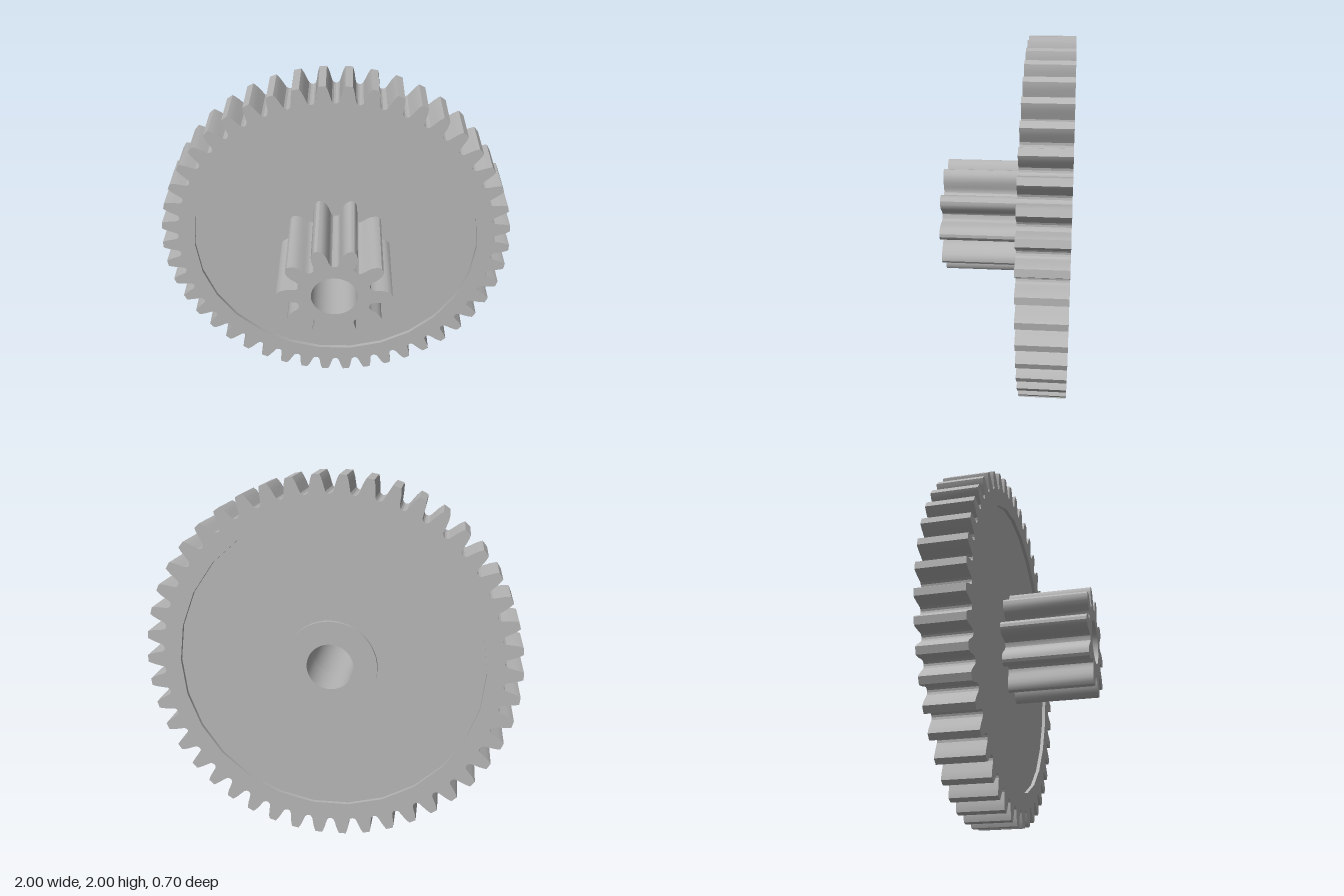
import * as THREE from 'three';
import { toCreasedNormals } from 'three/addons/utils/BufferGeometryUtils.js';

const BORE = 0.125;

// Flank of one tooth from root to tip: [radius, half angle from tooth centre]
const WHEEL_FLANK = [[0.904, 0.0683], [0.907, 0.057], [0.916, 0.047], [0.935, 0.041],
  [0.965, 0.033], [0.985, 0.026], [1.0, 0.019]];
const PINION_FLANK = [[0.2, 0.314], [0.202, 0.25], [0.211, 0.21], [0.23, 0.185],
  [0.26, 0.16], [0.285, 0.125], [0.302, 0.08], [0.312, 0.028]];

function polar(r, a) {
  return new THREE.Vector2(r * Math.cos(a), r * Math.sin(a));
}

function ring(radius, sides) {
  return Array.from({ length: sides }, (_, i) => polar(radius, (i / sides) * Math.PI * 2));
}

// Repeats the mirrored flank around the circle
function gearOutline(teeth, flank) {
  const points = [];
  for (let i = 0; i < teeth; i++) {
    const centre = (i / teeth) * Math.PI * 2;
    for (const [r, a] of flank) points.push(polar(r, centre - a));
    // the last root point is shared with the next tooth
    for (const [r, a] of flank.slice(1).reverse()) points.push(polar(r, centre + a));
  }
  return points;
}

// Flat outline with one hole, extruded from z0 to z1
function plate(name, outline, hole, z0, z1, material) {
  const shape = new THREE.Shape(outline);
  shape.holes.push(new THREE.Path(hole));
  const extruded = new THREE.ExtrudeGeometry(shape, { depth: z1 - z0, bevelEnabled: false });
  extruded.translate(0, 0, z0);
  const mesh = new THREE.Mesh(toCreasedNormals(extruded, 0.45), material);
  mesh.name = name;
  return mesh;
}

export function createModel() {
  const model = new THREE.Group();
  model.name = 'compoundGear';
  const grey = new THREE.MeshStandardMaterial({ color: 0xb4b4b4 });
  grey.name = 'grey';

  const recess = ring(0.815, 26);
  const bore = ring(BORE, 48);

  model.add(
    // Toothed rim, standing slightly proud of the web on both faces
    plate('wheelRim', gearOutline(46, WHEEL_FLANK), recess, -0.35, -0.1, grey),
    plate('wheelWeb', recess, bore, -0.33, -0.12, grey),
    // Low boss around the bore at the back
    plate('backBoss', ring(0.25, 48), bore, -0.35, -0.33, grey),
    // Small gear at the front
    plate('pinion', gearOutline(10, PINION_FLANK), bore, -0.12, 0.35, grey),
  );

  model.position.y = 1;
  const root = new THREE.Group();
  root.name = 'gear';
  root.add(model);
  return root;
}
